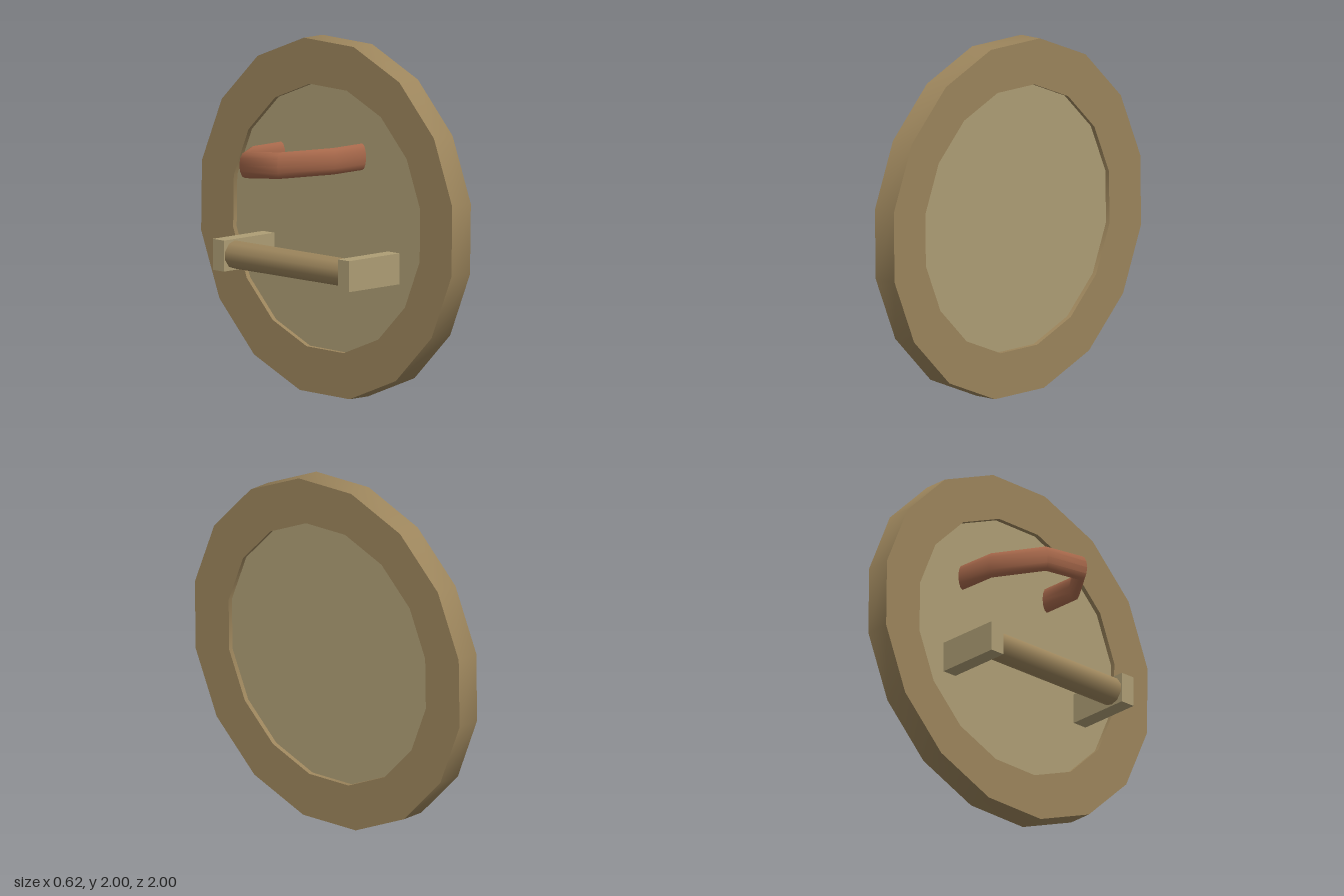
import * as THREE from 'three';
import { toCreasedNormals } from 'three/addons/utils/BufferGeometryUtils.js';

const SIDES = 16;
const TURN = -10.3 * Math.PI / 180; // slight roll of the 16-sided disc
const V2 = (x, y) => new THREE.Vector2(x, y);

// Revolve a closed (radius, x) profile about the x axis, keeping its corners sharp
function disc(points) {
  const g = new THREE.LatheGeometry(points, SIDES, TURN);
  g.rotateZ(-Math.PI / 2);
  return toCreasedNormals(g, 0.6);
}

// Sweep an oval section along a path in the xz plane, mitred at the bends
function ovalSweep(path, halfWidth, halfHeight, sides) {
  const pos = [], index = [];
  path.forEach((p, i) => {
    const a = path[Math.max(i - 1, 0)], b = path[Math.min(i + 1, path.length - 1)];
    const d1 = i > 0 ? p.clone().sub(a).normalize() : b.clone().sub(p).normalize();
    const d2 = i < path.length - 1 ? b.clone().sub(p).normalize() : d1;
    const t = d1.clone().add(d2).normalize();
    const w = halfWidth / t.dot(d1);
    for (let j = 0; j < sides; j++) {
      const s = (j / sides) * Math.PI * 2;
      const out = Math.cos(s) * w;
      const z = p.y + t.x * out;
      // the whole grip leans gently upward toward +z
      pos.push(p.x - t.y * out, 1.35 + 0.1 * p.y + Math.sin(s) * halfHeight, z);
      if (i < path.length - 1) {
        const q = i * sides + j, r = i * sides + (j + 1) % sides;
        index.push(q, r, q + sides, r, r + sides, q + sides);
      }
    }
  });
  const g = new THREE.BufferGeometry();
  g.setAttribute('position', new THREE.Float32BufferAttribute(pos, 3));
  g.setIndex(index);
  return toCreasedNormals(g, 0.95);
}

export function createModel() {
  const group = new THREE.Group();
  const darkWood = new THREE.MeshStandardMaterial({ color: 0x9c855c });
  const paleWood = new THREE.MeshStandardMaterial({ color: 0xae9e75 });
  const leather = new THREE.MeshStandardMaterial({ color: 0xa5674a, side: THREE.DoubleSide });

  const add = (name, geometry, material, x = 0, y = 0, z = 0) => {
    const mesh = new THREE.Mesh(geometry, material);
    mesh.name = name;
    mesh.position.set(x, y, z);
    group.add(mesh);
  };

  // Shield disc: thick rim and a panel recessed on both faces
  const R = 1.016, r = 0.757, h = 0.0725, p = 0.045;
  add('rim', disc([V2(R, -h), V2(R, h), V2(r, h), V2(r, -h), V2(R, -h)]), darkWood, 0.237, 1, 0);
  add('panel', disc([V2(0, -p), V2(r, -p), V2(r, p), V2(0, p)]), paleWood, 0.237, 1, 0);

  // Hand bar held between two blocks
  for (const [name, z] of [['backBlock', -0.49], ['frontBlock', 0.505]]) {
    add(name, new THREE.BoxGeometry(0.4, 0.175, 0.09), paleWood, 0, 0.777, z);
  }
  const bar = new THREE.CylinderGeometry(0.08, 0.08, 0.92, 10);
  bar.rotateX(Math.PI / 2);
  add('handBar', bar, darkWood, -0.115, 0.777, 0.007);

  // Arm strap bowed out from the panel
  const strap = [V2(0.2, -0.39), V2(-0.035, -0.383), V2(-0.279, -0.195),
    V2(-0.279, 0.075), V2(-0.035, 0.254), V2(0.2, 0.254)];
  add('armStrap', ovalSweep(strap, 0.032, 0.075, 12), leather);

  return group;
}
